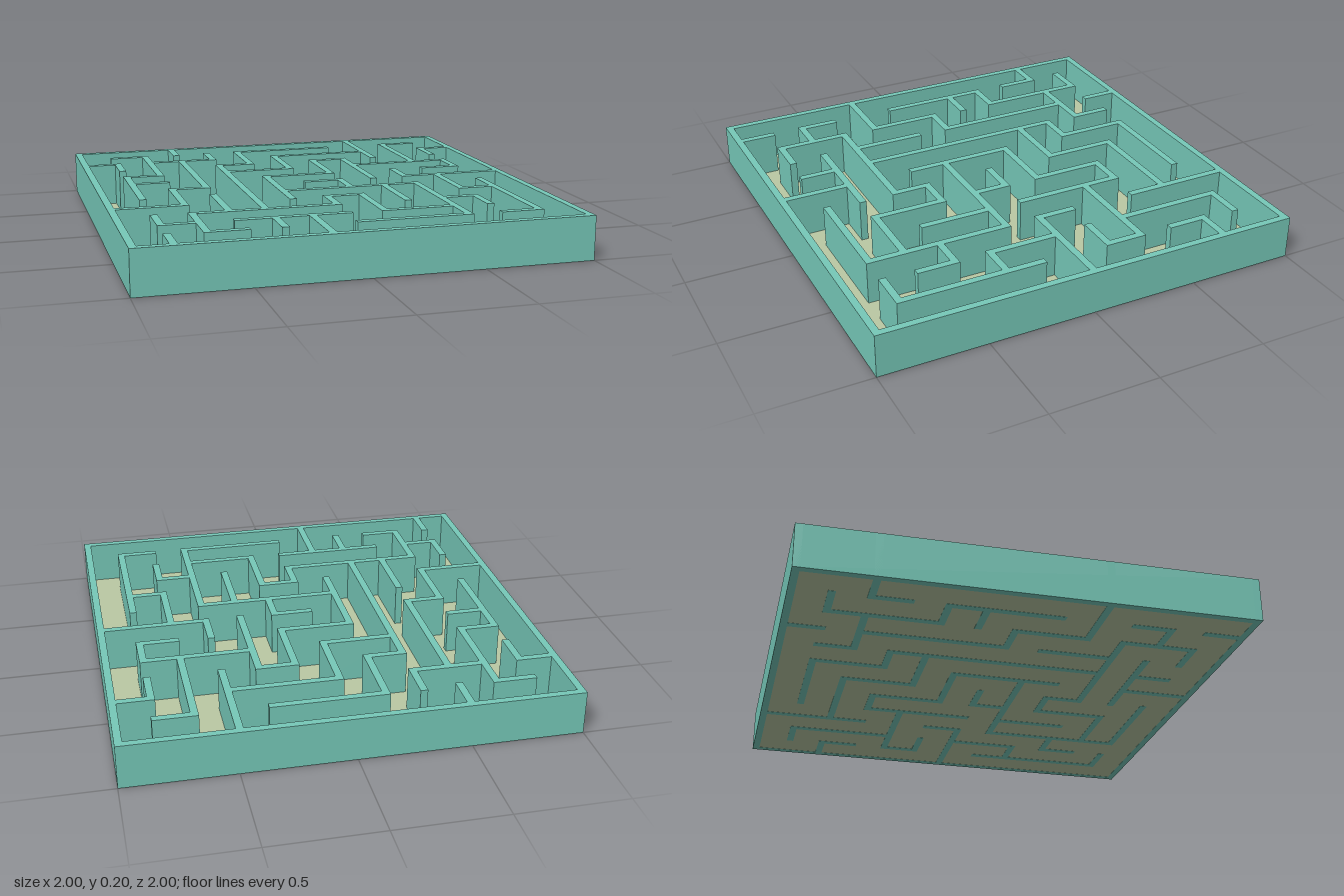
import * as THREE from 'three';

const CELLS = 12;
const SIZE = 2;
const HEIGHT = 0.2;
const THICK = 0.033;
const PITCH = (SIZE - THICK) / CELLS;

// Wall runs on each grid line, as start-end grid indices
const ROWS = [
  '0-12',
  '1-2 5-8 10-11',
  '0-1 2-4 6-9 11-12',
  '4-5 7-8',
  '1-2 4-6 8-11',
  '1-2 5-7 10-11',
  '2-3 6-7 9-12',
  '5-9',
  '0-2 6-7 10-11',
  '2-6 9-10',
  '1-2 3-6 7-9',
  '2-3 6-9 10-11',
  '0-12',
];
const COLUMNS = [
  '0-12',
  '2-3 4-7 9-10 11-12',
  '1-4 6-8 9-11',
  '0-1 2-6 7-9',
  '1-2 3-9 10-11',
  '1-3 5-8 10-12',
  '2-4 8-9',
  '3-5 6-7 8-10',
  '3-6 7-9',
  '0-3 5-6 7-11',
  '1-4 6-8 9-10',
  '2-3 4-5 7-11',
  '0-12',
];

const at = (i) => (i - CELLS / 2) * PITCH;

export function createModel() {
  const group = new THREE.Group();
  group.name = 'maze';
  const wallMaterial = new THREE.MeshStandardMaterial({ color: 0x76c8b8 });
  const floorMaterial = new THREE.MeshStandardMaterial({ color: 0xbac8a4, side: THREE.DoubleSide });

  // Thin floor sheet just above the undersides of the walls
  const floor = new THREE.Mesh(new THREE.PlaneGeometry(SIZE - THICK, SIZE - THICK), floorMaterial);
  floor.name = 'floor';
  floor.rotation.x = -Math.PI / 2;
  floor.position.y = 0.001;
  group.add(floor);

  // Walls along x (rows) and along z (columns)
  const addWalls = (lines, alongX) => {
    lines.forEach((line, index) => {
      for (const run of line.split(' ')) {
        const [start, end] = run.split('-').map(Number);
        const length = (end - start) * PITCH + THICK;
        const middle = at((start + end) / 2);
        const wall = new THREE.Mesh(
          new THREE.BoxGeometry(alongX ? length : THICK, HEIGHT, alongX ? THICK : length),
          wallMaterial
        );
        wall.position.set(alongX ? middle : at(index), HEIGHT / 2, alongX ? at(index) : middle);
        wall.name = index % CELLS === 0 ? 'outerWall' : 'innerWall';
        group.add(wall);
      }
    });
  };
  addWalls(ROWS, true);
  addWalls(COLUMNS, false);

  return group;
}
